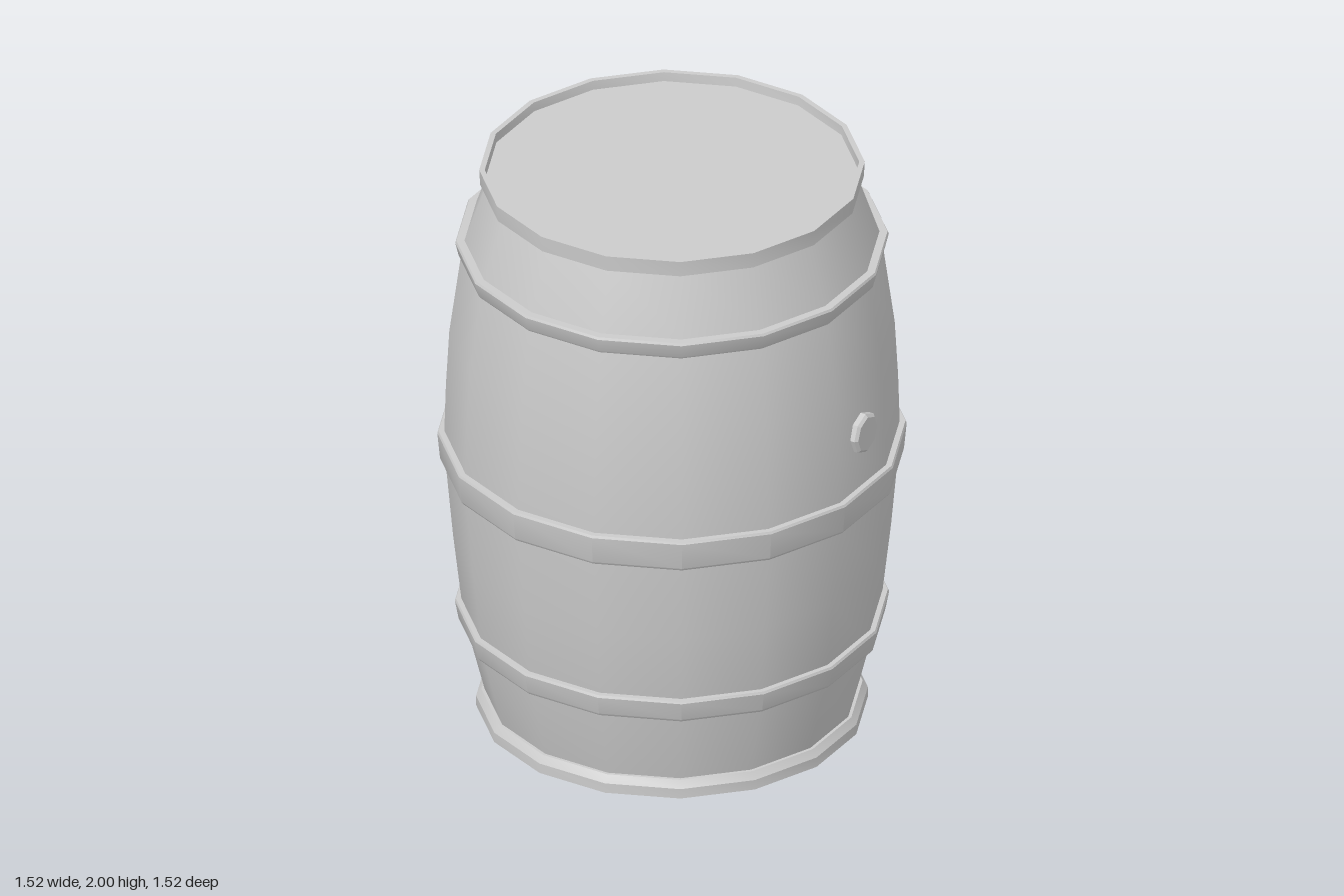
import * as THREE from 'three';
import { toCreasedNormals } from 'three/addons/utils/BufferGeometryUtils.js';

const SIDES = 16;

export function createModel() {
  const barrel = new THREE.Group();
  barrel.name = 'barrel';
  const material = new THREE.MeshStandardMaterial({ color: 0xcccccc });

  // Turned part: profile of [radius, height] running up the outside
  const turned = (name, profile, sides = SIDES) => {
    const points = profile.map(([r, y]) => new THREE.Vector2(r, y));
    const geometry = toCreasedNormals(new THREE.LatheGeometry(points, sides), Math.PI / 6);
    const mesh = new THREE.Mesh(geometry, material);
    mesh.name = name;
    barrel.add(mesh);
    return mesh;
  };

  // Bulging staves
  turned('body', [
    [0.605, 0.05], [0.675, 0.33], [0.71, 0.64], [0.735, 0.92], [0.738, 1.03],
    [0.733, 1.2], [0.722, 1.4], [0.683, 1.69], [0.672, 1.74], [0.6, 1.95],
  ]);

  // Bottom rim with closed underside
  turned('bottomRim', [[0, 0], [0.635, 0], [0.635, 0.035], [0.618, 0.06], [0.59, 0.06]]);

  // Top rim with the recessed lid inside it
  turned('topRim', [[0.59, 1.945], [0.622, 1.945], [0.625, 2], [0.607, 2], [0.605, 1.965]]);
  turned('lid', [[0.606, 1.968], [0, 1.968]]);

  // Hoops, slightly wider at the top, with a small lip under each
  const hoops = [
    ['lowerHoop', 0.318, 0.4, 0.692, 0.704],
    ['middleHoop', 0.917, 1.028, 0.752, 0.761],
    ['upperHoop', 1.675, 1.738, 0.692, 0.703],
  ];
  for (const [name, bottom, top, rBottom, rTop] of hoops) {
    turned(name, [
      [rBottom - 0.04, bottom], [rBottom - 0.006, bottom], [rBottom, bottom + 0.009],
      [rTop, top - 0.008], [rTop - 0.004, top], [rTop - 0.05, top],
    ]);
  }

  // Bung plug set square into one facet of the left side
  const bung = turned('bung', [[0.07, -0.03], [0.07, 0.015], [0.06, 0.024], [0, 0.024]], 8);
  const angle = Math.PI / SIDES;
  bung.rotation.set(0, angle, -Math.PI / 2);
  bung.position.set(0.718 * Math.cos(angle), 1.22, -0.718 * Math.sin(angle));

  return barrel;
}
